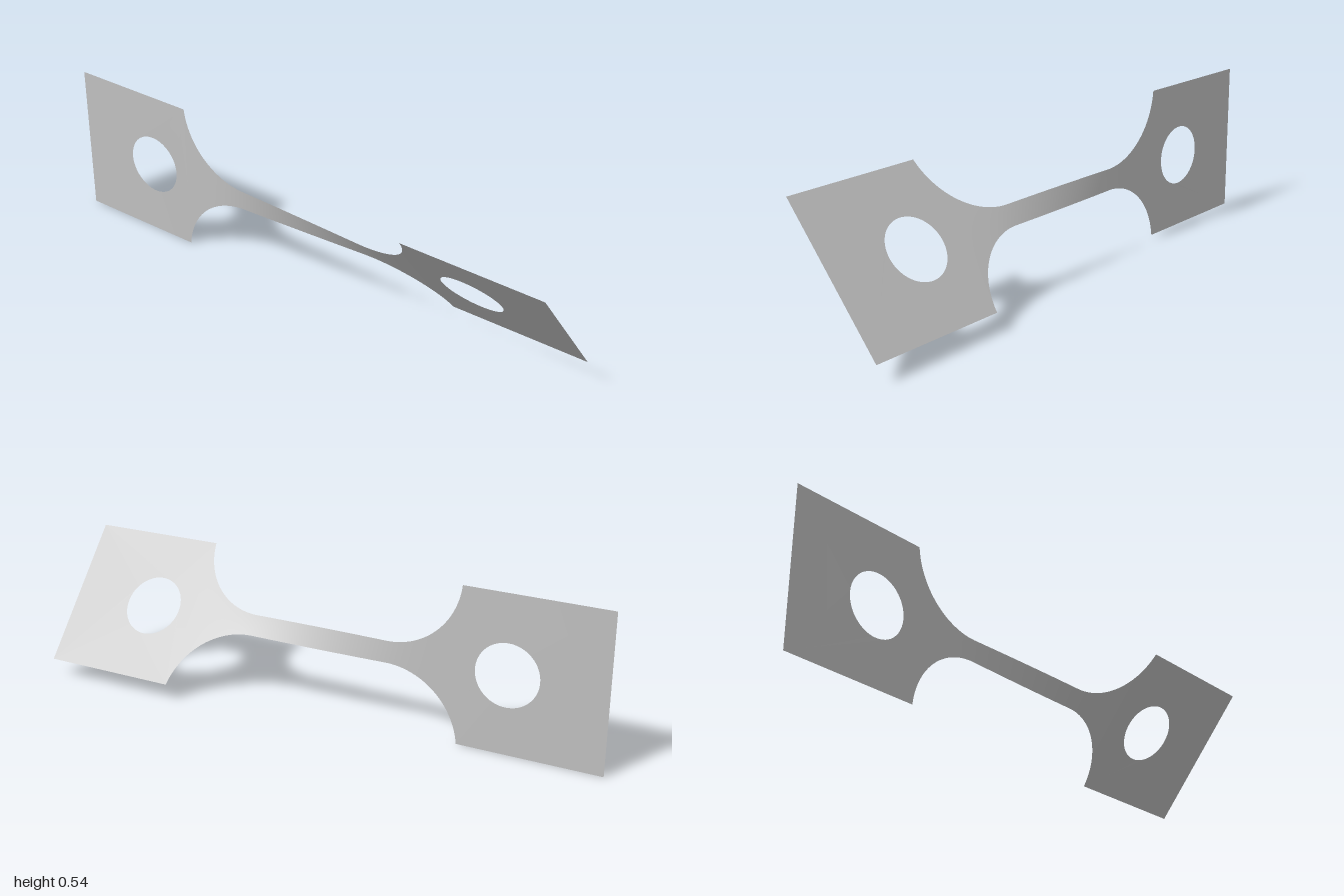
import * as THREE from 'three';

const HALF = 0.271;          // half height of the end tabs
const NECK = 0.037;          // half height of the slim bar
const R = 0.26;              // fillet radius
const FILLET_X = 0.25;       // where the fillets start
const TAB_X = FILLET_X + Math.sqrt(R * R - (NECK + R - HALF) ** 2);
const TWIST = THREE.MathUtils.degToRad(40);

// half height of the strip at x
function halfHeight(x) {
  const d = Math.abs(x) - FILLET_X;
  if (d <= 0) return NECK;
  if (Math.abs(x) >= TAB_X) return HALF;
  return NECK + R - Math.sqrt(R * R - d * d);
}

// accumulated twist: the slimmer the strip, the faster it turns
const STEPS = 400;
const table = [0];
for (let i = 0; i < STEPS; i++) {
  const w = halfHeight(-1 + (2 * (i + 0.5)) / STEPS);
  table.push(table[i] + 1 / (w * w));
}
function twistAt(x) {
  const t = THREE.MathUtils.clamp((x + 1) / 2, 0, 1) * STEPS;
  const i = Math.min(Math.floor(t), STEPS - 1);
  return (TWIST * THREE.MathUtils.lerp(table[i], table[i + 1], t - i)) / table[STEPS];
}

// turn every flat vertex about the long axis, then lift onto the ground
function twist(geometry) {
  const p = geometry.attributes.position;
  for (let i = 0; i < p.count; i++) {
    const x = p.getX(i), v = p.getY(i), a = twistAt(x);
    p.setXYZ(i, x, HALF + v * Math.cos(a), v * Math.sin(a));
  }
  geometry.computeVertexNormals();
  return geometry;
}

// square tab with a round hole
function tabGeometry(side) {
  const a = Math.min(side, side * TAB_X), b = Math.max(side, side * TAB_X);
  const shape = new THREE.Shape();
  shape.moveTo(a, -HALF);
  shape.lineTo(b, -HALF);
  shape.lineTo(b, HALF);
  shape.lineTo(a, HALF);
  shape.closePath();
  const hole = new THREE.Path();
  hole.absarc(side * 0.67, 0, 0.108, 0, Math.PI * 2, true);
  shape.holes.push(hole);
  return twist(new THREE.ShapeGeometry(shape, 32));
}

// slim bar with the concave fillets at both ends
function barGeometry() {
  const geometry = new THREE.PlaneGeometry(2, 2, 120, 10);
  const p = geometry.attributes.position;
  for (let i = 0; i < p.count; i++) {
    // stations crowd towards the steep ends of the fillets
    const x = TAB_X * Math.sin((p.getX(i) * Math.PI) / 2);
    p.setXY(i, x, p.getY(i) * halfHeight(x));
  }
  return twist(geometry);
}

export function createModel() {
  const group = new THREE.Group();
  group.name = 'twistedStrip';
  const steel = new THREE.MeshStandardMaterial({ color: 0xc0c0c0, side: THREE.DoubleSide });
  steel.name = 'light grey steel';

  const add = (name, geometry) => {
    const mesh = new THREE.Mesh(geometry, steel);
    mesh.name = name;
    group.add(mesh);
  };
  add('rightTab', tabGeometry(-1));
  add('twistedBar', barGeometry());
  add('leftTab', tabGeometry(1));
  return group;
}
